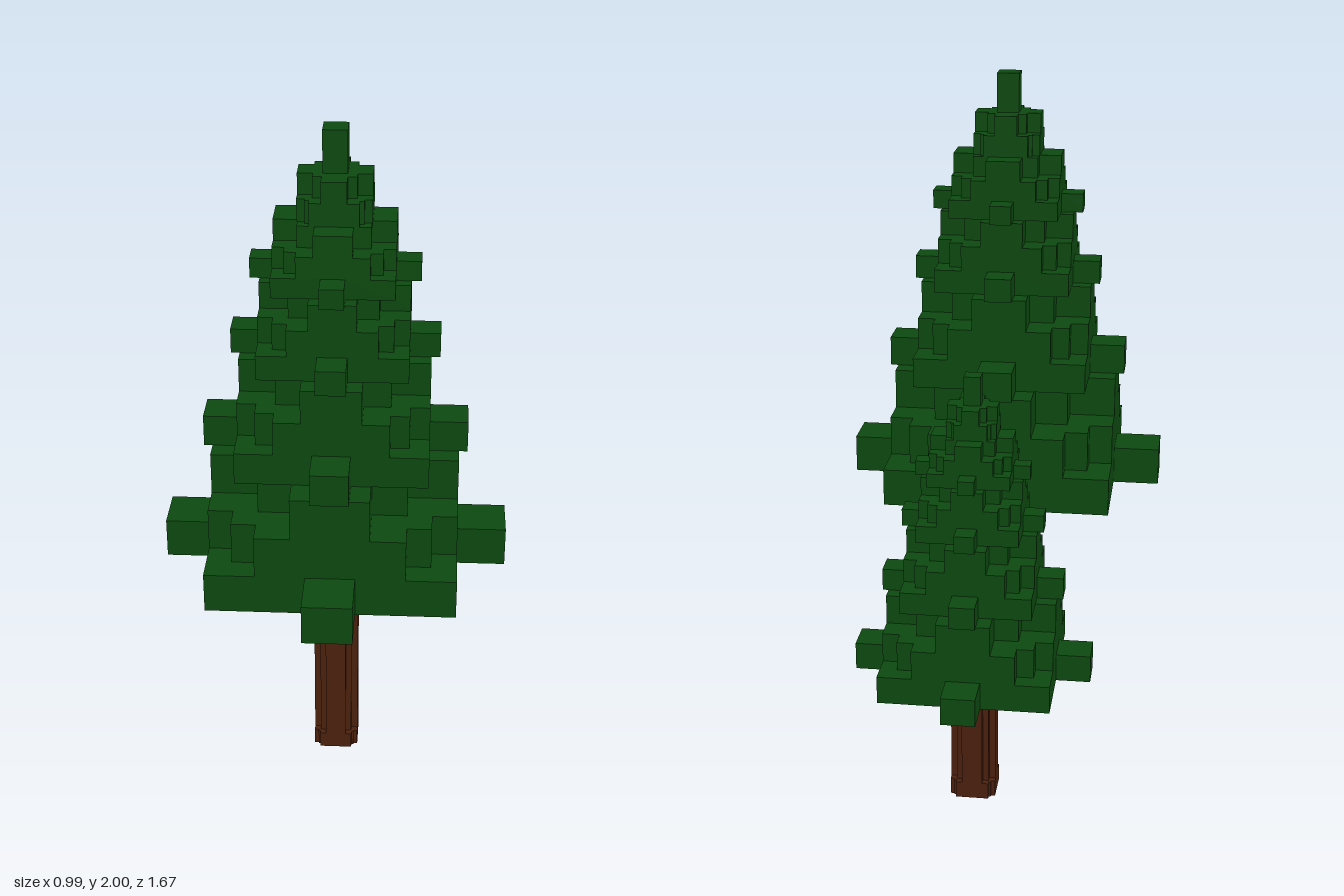
import * as THREE from 'three';

const needles = new THREE.MeshStandardMaterial({ color: 0x0d4a10 });
needles.name = 'needle green';
const bark = new THREE.MeshStandardMaterial({ color: 0x4c210e });
bark.name = 'bark brown';

// Square slab (half width s) with an arm (reach a, half width w) on each listed side:
// 0 = +x, 1 = back, 2 = -x, 3 = front
function crossSlab(name, material, s, a, w, y0, y1, sides = [0, 1, 2, 3]) {
  const points = [];
  for (let k = 0; k < 4; k++) {
    const quarter = sides.includes(k) ? [[s, -w], [a, -w], [a, w], [s, w], [s, s]] : [[s, s]];
    for (const [x, y] of quarter) {
      points.push(new THREE.Vector2(x, y).rotateAround(new THREE.Vector2(), k * Math.PI / 2));
    }
  }
  const geometry = new THREE.ExtrudeGeometry(new THREE.Shape(points), { depth: y1 - y0, bevelEnabled: false });
  geometry.rotateX(-Math.PI / 2).translate(0, y0, 0);
  const mesh = new THREE.Mesh(geometry, material);
  mesh.name = name;
  return mesh;
}

// Blocky crown standing on y = 0, about 1.305 tall at full size
function makeCrown() {
  const crown = new THREE.Group();
  crown.name = 'crown';
  // Each tier: start height, end height, size relative to the lowest tier
  const tiers = [[0, 0.365, 1], [0.365, 0.655, 0.76], [0.655, 0.88, 0.59], [0.88, 1.06, 0.475]];
  tiers.forEach(([y0, y1, f], i) => {
    const tier = new THREE.Group();
    tier.name = `branchTier${i + 1}`;
    const lip = y0 + (y1 - y0) * 0.32;
    const step = y0 + (y1 - y0) * 0.66;
    tier.add(
      crossSlab('lowerBranches', needles, 0.352 * f, 0.495 * f, 0.07 * f, y0, lip),
      crossSlab('middleBranches', needles, 0.28 * f, 0.352 * f, 0.21 * f, lip, step),
      crossSlab('upperBranches', needles, 0.21 * f, 0.352 * f, 0.11 * f, step, y1)
    );
    crown.add(tier);
  });
  // Narrow tip
  crown.add(
    crossSlab('tipBase', needles, 0.08, 0.102, 0.068, 1.06, 1.125),
    crossSlab('tipMiddle', needles, 0.06, 0.102, 0.035, 1.125, 1.185),
    crossSlab('tip', needles, 0.034, 0.034, 0.02, 1.185, 1.305, [])
  );
  return crown;
}

// Fluted trunk with a wider foot; the back flute may stop short
function makeTrunk(height, backFlute = height) {
  const trunk = new THREE.Group();
  trunk.name = 'trunk';
  trunk.add(
    crossSlab('trunkFoot', bark, 0.054, 0.066, 0.048, 0, 0.05),
    crossSlab('trunkStem', bark, 0.047, 0.066, 0.03, 0.05, backFlute)
  );
  if (backFlute < height) {
    trunk.add(crossSlab('trunkTop', bark, 0.047, 0.066, 0.03, backFlute, height, [0, 2, 3]));
  }
  return trunk;
}

function makeTree(name, z, trunkHeight, crownScale, backFlute) {
  const tree = new THREE.Group();
  tree.name = name;
  const crown = makeCrown();
  crown.scale.setScalar(crownScale);
  crown.position.y = trunkHeight;
  tree.add(makeTrunk(trunkHeight, backFlute), crown);
  tree.position.z = z;
  return tree;
}

export function createModel() {
  const model = new THREE.Group();
  model.name = 'pineTrees';
  model.add(
    makeTree('largeTree', 0.338, 0.695, 1),
    makeTree('smallTree', -0.493, 0.398, 0.69, 0.32)
  );
  return model;
}
